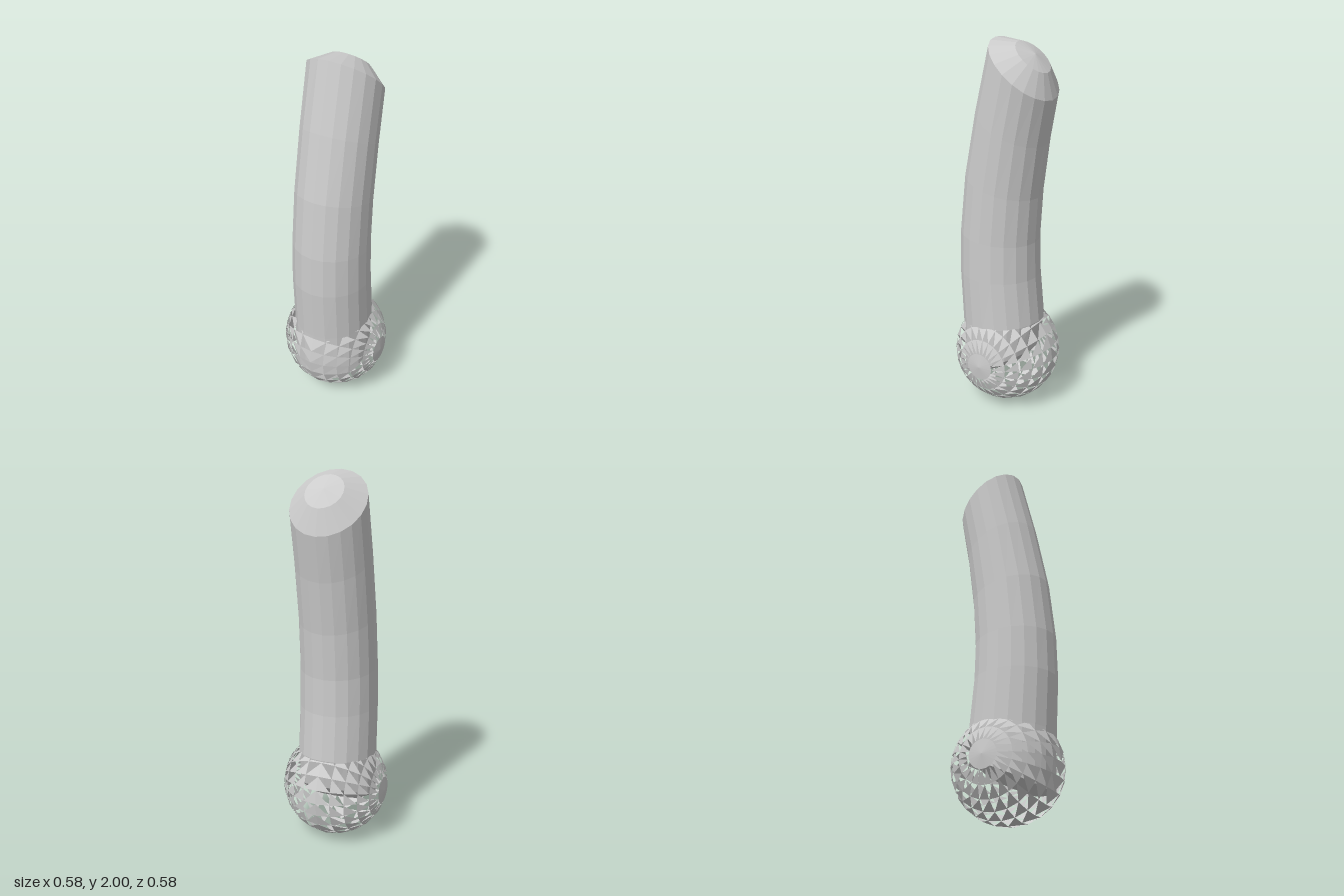
import * as THREE from 'three';

const SIDES = 20;

// Faceted surface through a list of rings, each an array of Vector3
function loft(rings) {
  const pos = [];
  const tri = (...p) => p.forEach(v => pos.push(v.x, v.y, v.z));
  for (let r = 0; r < rings.length - 1; r++) {
    for (let i = 0; i < SIDES; i++) {
      const j = (i + 1) % SIDES;
      const a = rings[r][i], b = rings[r][j], c = rings[r + 1][j], d = rings[r + 1][i];
      tri(a, b, c);
      tri(a, c, d);
    }
  }
  return toGeometry(pos);
}

function toGeometry(pos) {
  const g = new THREE.BufferGeometry();
  g.setAttribute('position', new THREE.Float32BufferAttribute(pos, 3));
  g.computeVertexNormals();
  return g;
}

// Tilted oval ring between a front and a back point, shrunk and lifted for the domed ends
function ring([zf, yf, zb, yb, rx], scale = 1, lift = 0) {
  const dz = (zf - zb) / 2, dy = (yf - yb) / 2, len = Math.hypot(dz, dy);
  const cz = (zf + zb) / 2 - (dy / -len) * -lift, cy = (yf + yb) / 2 + (dz / len) * lift;
  return Array.from({ length: SIDES }, (_, i) => {
    const a = (i / SIDES) * Math.PI * 2;
    const c = Math.cos(a) * scale;
    return new THREE.Vector3(Math.sin(a) * rx * scale, cy + dy * c, cz + dz * c);
  });
}

// Ball with its poles on the x axis; each panel between the poles is half open
function latticeBall(radius, rows, segments) {
  const pos = [];
  const point = (row, seg, side) => {
    const lat = (row / rows) * Math.PI / 2, lon = (seg / segments) * Math.PI * 2;
    const r = radius * Math.cos(lat);
    return [side * radius * Math.sin(lat), r * Math.cos(lon), r * Math.sin(lon)];
  };
  for (const side of [1, -1]) {
    for (let row = 0; row < rows; row++) {
      for (let s = 0; s < segments; s++) {
        const a = point(row, s, side), b = point(row, s + 1, side), c = point(row + 1, s, side);
        pos.push(...(side > 0 ? [a, b, c] : [a, c, b]).flat());
      }
    }
  }
  return toGeometry(pos);
}

export function createModel() {
  const group = new THREE.Group();
  const material = new THREE.MeshStandardMaterial({
    color: 0xcccccc, flatShading: true, side: THREE.DoubleSide,
  });

  // Curved shaft: front z, front y, back z, back y, half width
  const sections = [
    [0.24, 0.14, -0.17, 0.33, 0.21],
    [0.25, 0.45, -0.2, 0.5, 0.212],
    [0.265, 0.75, -0.175, 0.75, 0.21],
    [0.26, 0.98, -0.17, 0.95, 0.207],
    [0.225, 1.3, -0.185, 1.2, 0.204],
    [0.155, 1.65, -0.22, 1.48, 0.202],
    [0.07, 2.0, -0.262, 1.72, 0.2],
  ];
  const bottom = sections[0], top = sections[sections.length - 1];
  const shaft = new THREE.Mesh(loft([
    ring(bottom, 0, -0.05),
    ring(bottom, 0.6, -0.04),
    ...sections.map(s => ring(s)),
    ring(top, 0.5, 0.08),
    ring(top, 0, 0.1),
  ]), material);
  shaft.name = 'curvedShaft';
  group.add(shaft);

  // Open ball around the foot of the shaft
  const ball = new THREE.Mesh(latticeBall(0.288, 6, 24), material);
  ball.name = 'latticeBall';
  ball.position.y = 0.288;
  group.add(ball);

  return group;
}
